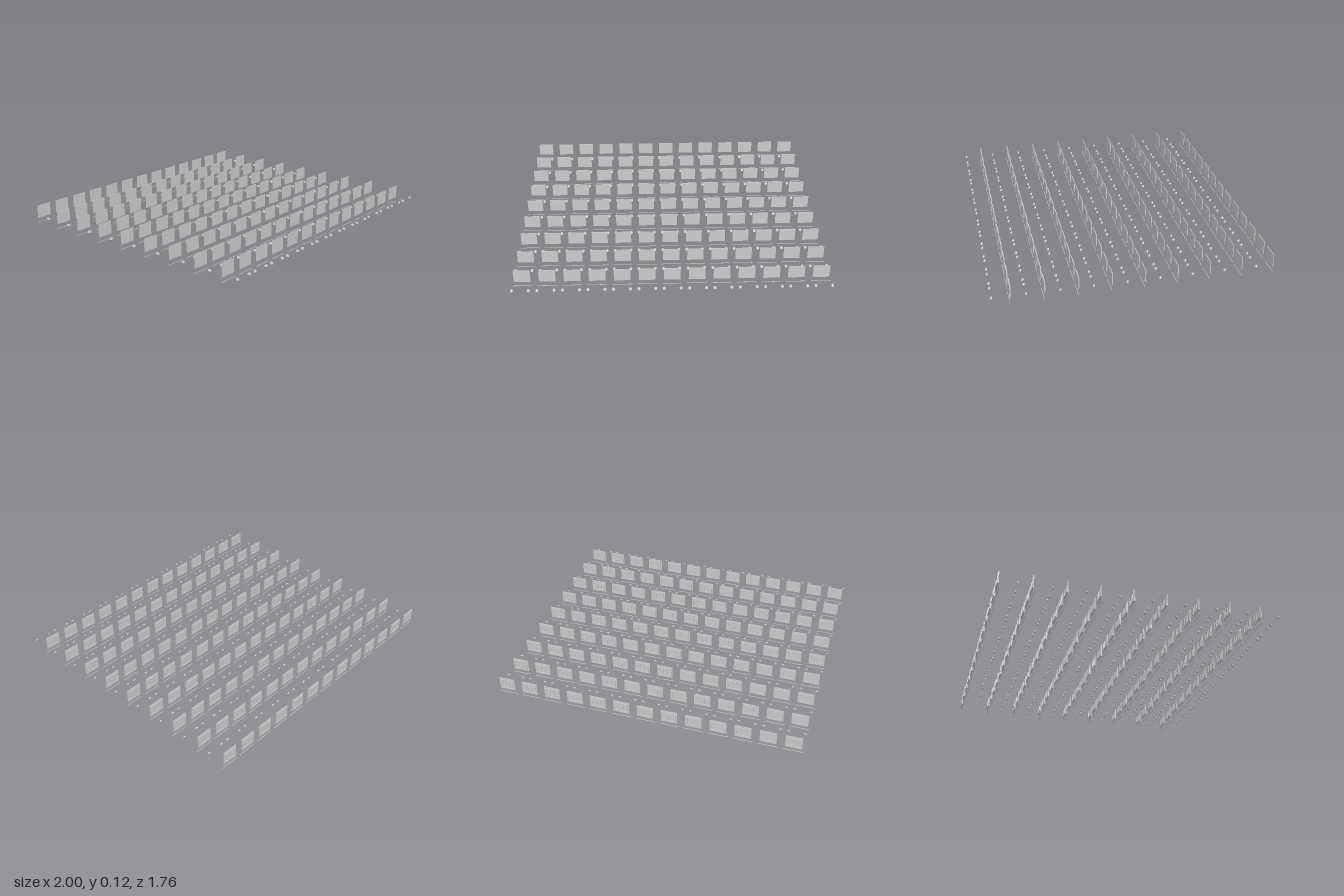
import * as THREE from 'three';

const COLS = 13, ROWS = 9, PITCH_X = 0.15625, PITCH_Z = 0.2045, FIRST_Z = -0.876;

export function createModel() {
  const model = new THREE.Group();
  const grey = new THREE.MeshStandardMaterial({ color: 0xcccccc });
  grey.name = 'light grey';

  // Panel: thin front sheet with a raised frame and ribs on its back
  const sheet = new THREE.BoxGeometry(0.105, 0.086, 0.004);
  const railGeo = new THREE.BoxGeometry(0.089, 0.008, 0.004);
  const ribGeo = new THREE.BoxGeometry(0.007, 0.053, 0.004);

  // Thin floor strip just in front of the panel
  const strip = new THREE.BoxGeometry(0.125, 0.002, 0.003);

  // Small round button, leaning back
  const button = new THREE.CylinderGeometry(0.0085, 0.0105, 0.008, 14);
  button.rotateX(THREE.MathUtils.degToRad(66));

  const add = (parent, name, geometry, x, y, z) => {
    const mesh = new THREE.Mesh(geometry, grey);
    mesh.name = name;
    mesh.position.set(x, y, z);
    parent.add(mesh);
  };

  for (let row = 0; row < ROWS; row++) {
    for (let col = 0; col < COLS; col++) {
      const unit = new THREE.Group();
      unit.name = 'panelUnit';
      unit.position.set((col - (COLS - 1) / 2) * PITCH_X, 0, FIRST_Z + row * PITCH_Z);

      add(unit, 'panelSheet', sheet, 0, 0.073, 0.001);
      for (const y of [0.0425, 0.1035]) add(unit, 'backRail', railGeo, 0, y, -0.003);
      for (const x of [-0.041, -0.014, 0.014, 0.041]) add(unit, 'backRib', ribGeo, x, 0.073, -0.003);
      add(unit, 'floorStrip', strip, 0, 0.001, 0.005);
      for (const side of [-1, 1]) add(unit, 'button', button, side * 0.052, 0.047, 0.114);
      model.add(unit);
    }
  }
  return model;
}
